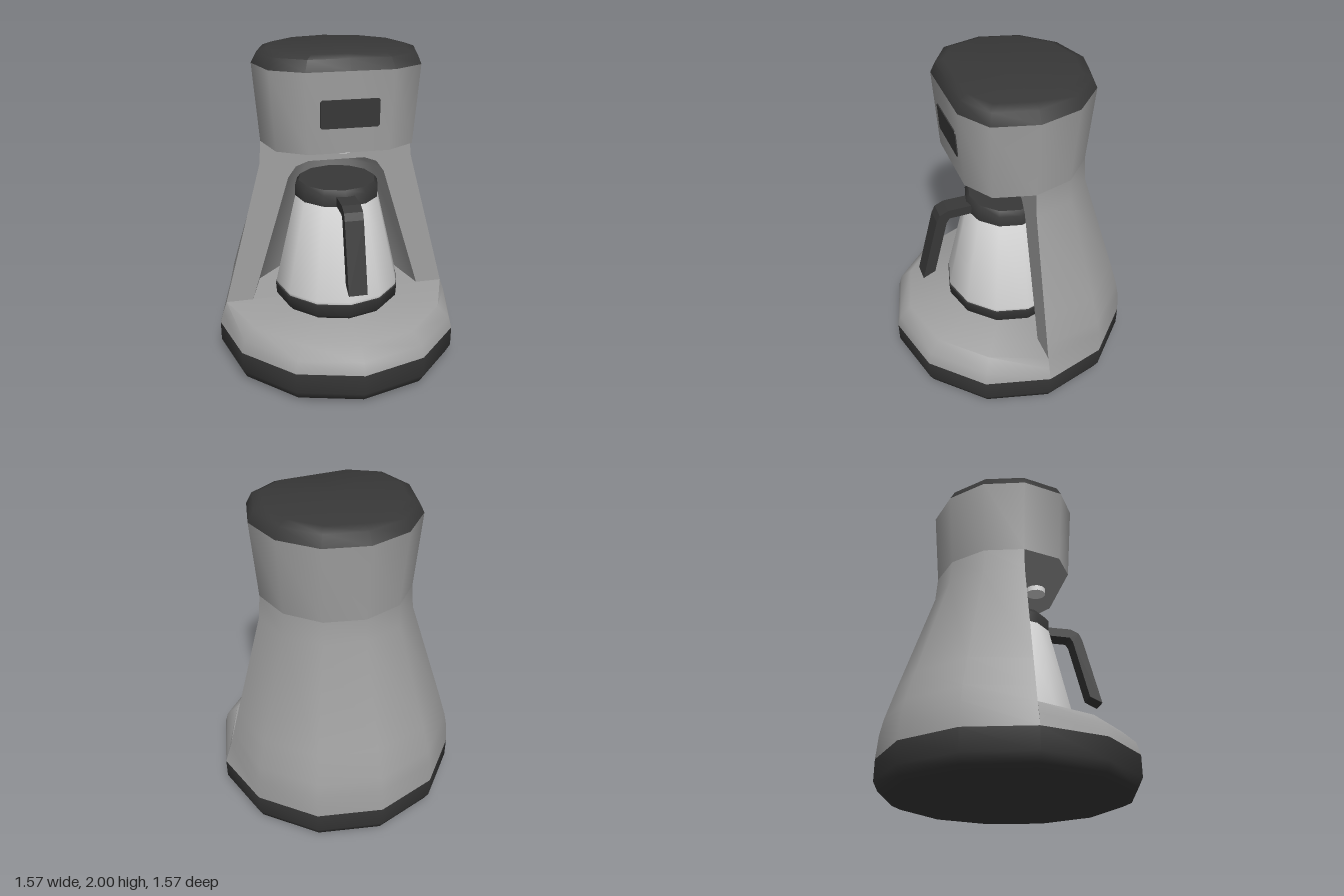
import * as THREE from 'three';
import { toCreasedNormals } from 'three/addons/utils/BufferGeometryUtils.js';

const material = (name, color, side = THREE.FrontSide) => {
  const m = new THREE.MeshStandardMaterial({ color, side });
  m.name = name;
  return m;
};

// Twelve-sided turned shape; profile is [radius, y] pairs, adjust may move each vertex
function turned(profile, { start = 0, sweep = Math.PI * 2, adjust } = {}) {
  const points = profile.map(([r, y]) => new THREE.Vector2(r, y));
  const geo = new THREE.LatheGeometry(points, Math.round((12 * sweep) / (Math.PI * 2)), start, sweep);
  if (adjust) {
    const pos = geo.attributes.position;
    const v = new THREE.Vector3();
    for (let i = 0; i < pos.count; i++) {
      v.fromBufferAttribute(pos, i);
      adjust(v);
      pos.setXYZ(i, v.x, v.y, v.z);
    }
  }
  return toCreasedNormals(geo, 0.85);
}

export function createModel() {
  const model = new THREE.Group();
  model.name = 'coffeeMaker';
  const grey = material('grey housing', 0xa0a0a0);
  const dark = material('dark plastic', 0x383838);
  const pale = material('pale carafe', 0xe0e0e0);

  const add = (name, geo, mat, parent = model) => {
    const mesh = new THREE.Mesh(geo, mat);
    mesh.name = name;
    parent.add(mesh);
    return mesh;
  };
  const half = Math.PI / 2;
  const front = { start: -half, sweep: Math.PI };
  const back = { start: half, sweep: Math.PI };

  // Foot and front shoulder of the base
  add('foot', turned([[0, 0], [0.7, 0], [0.76, 0.027], [0.787, 0.08], [0.787, 0.21]]), dark);
  add('baseDeck', turned([[0.787, 0.21], [0.765, 0.285], [0.69, 0.355], [0, 0.355]], {
    ...front,
    adjust: (v) => { if (v.y > 0.35 && Math.abs(v.x) > 0.68) v.x = Math.sign(v.x) * 0.74; },
  }), grey);

  // Rear half of the housing, its side edges pulled in to a straight line
  add('housingBack', turned(
    [[0.787, 0.21], [0.775, 0.355], [0.755, 0.45], [0.7, 0.63], [0.487, 1.29], [0.475, 1.44]], {
      ...back,
      adjust: (v) => {
        if (Math.abs(v.z) < 1e-6 && v.y > 0.3 && v.y < 1.3) {
          v.x = Math.sign(v.x) * THREE.MathUtils.mapLinear(v.y, 0.355, 1.29, 0.74, 0.487);
        }
      },
    }), grey);

  // Flat front of the housing around the carafe niche
  const nicheProfile = [[0.565, 0.355], [0.31, 1.19], [0.26, 1.26], [0.18, 1.29]];
  const outerEdge = [[0.74, 0.355], [0.487, 1.29], [0.475, 1.44]];
  const mirror = (list) => list.map(([x, y]) => [-x, y]);
  const outline = [
    ...outerEdge, ...mirror(outerEdge).reverse(),
    ...mirror(nicheProfile), ...[...nicheProfile].reverse(),
  ].map(([x, y]) => new THREE.Vector2(x, y));
  add('housingFront', new THREE.ShapeGeometry(new THREE.Shape(outline)), grey);

  // Niche walls, ceiling and floor
  add('niche', turned([[0, 1.29], ...[...nicheProfile].reverse(), [0, 0.355]], back), grey);

  // Brewing head with a flattened front, and its lid
  const flatten = (v) => { v.z = Math.min(v.z, 0.725 * Math.hypot(v.x, v.z)); };
  add('head', turned([[0, 1.44], [0.475, 1.44], [0.512, 1.915]], { adjust: flatten }), grey);
  add('headLid', turned([[0.512, 1.915], [0.477, 1.98], [0.42, 2], [0, 2]], { adjust: flatten }), dark);

  const nozzle = add('nozzle', new THREE.CylinderGeometry(0.065, 0.065, 0.05, 12), pale);
  nozzle.position.set(0, 1.43, 0.185);

  // Display: thin plate with clipped corners, leaning with the head front
  const w = 0.173, h = 0.083, c = 0.01;
  const plate = new THREE.Shape([
    [-w + c, -h], [w - c, -h], [w, -h + c], [w, h - c],
    [w - c, h], [-w + c, h], [-w, h - c], [-w, -h + c],
  ].map(([x, y]) => new THREE.Vector2(x, y)));
  const display = add('display', new THREE.ExtrudeGeometry(plate, { depth: 0.008, bevelEnabled: false }), dark);
  display.position.set(0, 1.673, 0.356);
  display.rotation.x = 0.056;

  // Carafe
  const carafe = new THREE.Group();
  carafe.name = 'carafe';
  model.add(carafe);
  add('carafeBase', turned([[0, 0.357], [0.375, 0.357], [0.405, 0.39], [0.41, 0.465], [0, 0.465]]), dark, carafe);
  add('carafeBody', turned([[0.4, 0.465], [0.405, 0.485], [0.268, 1.07]]), pale, carafe);
  add('carafeLid', turned([[0, 1.065], [0.268, 1.065], [0.268, 1.14], [0.245, 1.17], [0, 1.17]]), dark, carafe);

  // Handle drawn in side profile as (-z, y), extruded across x
  const handle = new THREE.Shape([
    [0.24, 1.135], [0.4, 1.135], [0.456, 1.11], [0.478, 1.066], [0.592, 0.637],
    [0.512, 0.674], [0.415, 1.045], [0.395, 1.075], [0.24, 1.077],
  ].map(([z, y]) => new THREE.Vector2(-z, y)));
  const handleGeo = new THREE.ExtrudeGeometry(handle, { depth: 0.114, bevelEnabled: false });
  handleGeo.translate(0, 0, -0.057).rotateY(half);
  add('carafeHandle', handleGeo, dark, carafe);

  return model;
}
